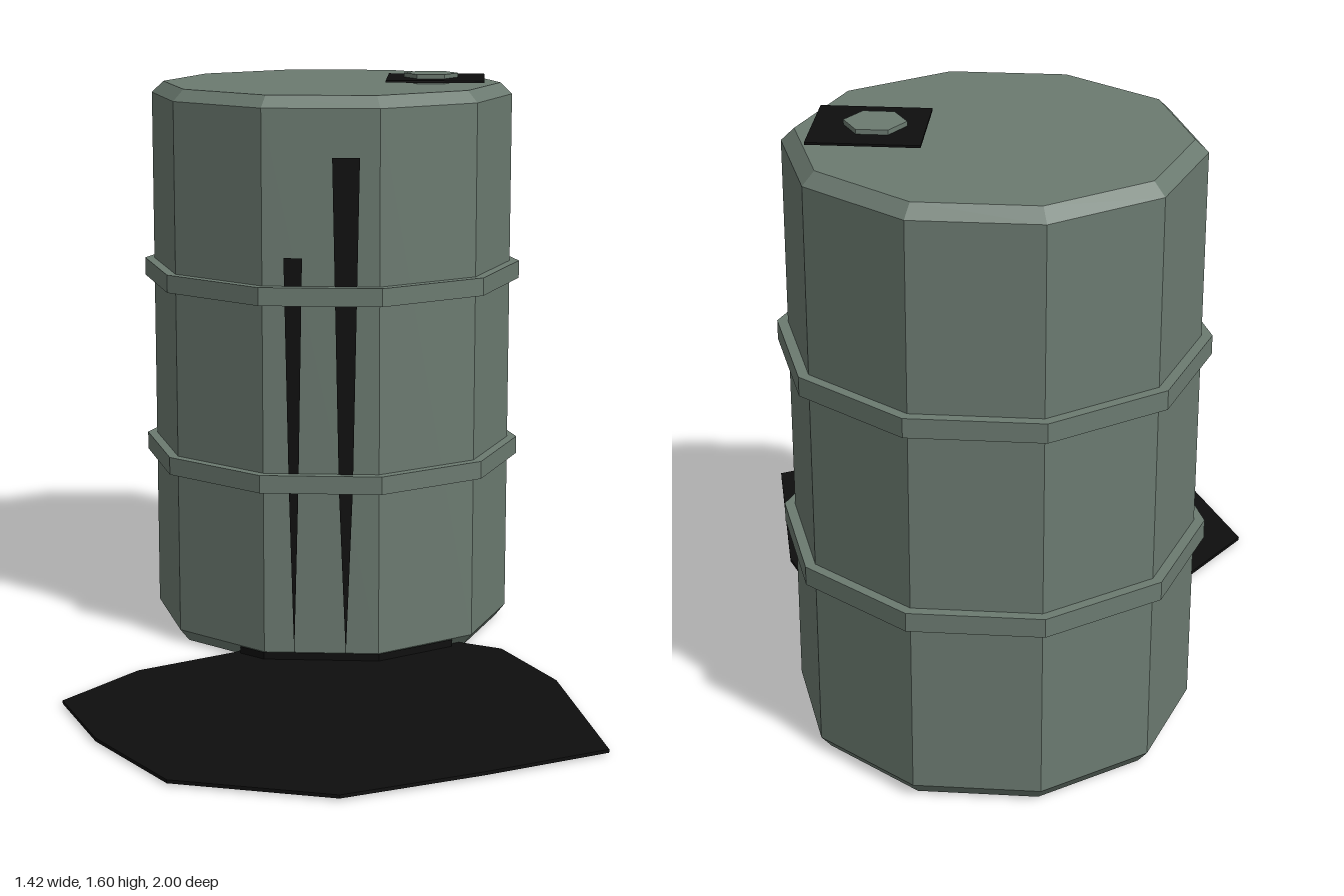
import * as THREE from 'three';

const steel = new THREE.MeshStandardMaterial({ color: 0x6b7a70, flatShading: true });
steel.name = 'greyGreenSteel';
const oil = new THREE.MeshStandardMaterial({ color: 0x0e0e0e, flatShading: true, side: THREE.DoubleSide });
oil.name = 'blackOil';

const SIDES = 10, START = Math.PI / 10; // flat face to the front

function add(parent, name, geometry, material, x = 0, y = 0, z = 0) {
  const mesh = new THREE.Mesh(geometry, material);
  mesh.name = name;
  mesh.position.set(x, y, z);
  parent.add(mesh);
  return mesh;
}

const shapeOf = (pts) => new THREE.Shape(pts.map(([x, y]) => new THREE.Vector2(x, y)));

export function createModel() {
  const model = new THREE.Group();
  model.name = 'leakingBarrel';

  // barrel body with chamfered rims
  const barrel = new THREE.Group();
  barrel.name = 'barrel';
  barrel.position.set(-0.05, 0, -0.485);
  model.add(barrel);
  const profile = [[0, 0], [0.485, 0], [0.513, 0.035], [0.513, 1.54], [0.48, 1.572], [0, 1.572]]
    .map(([r, y]) => new THREE.Vector2(r, y));
  add(barrel, 'body', new THREE.LatheGeometry(profile, SIDES, START), steel);

  // two raised hoops
  for (const [name, y] of [['lowerHoop', 0.52], ['upperHoop', 1.038]]) {
    add(barrel, name, new THREE.CylinderGeometry(0.54, 0.54, 0.05, SIDES, 1, false, START), steel, 0, y, 0);
  }

  // bung on the lid with an oily patch around it
  add(model, 'bung', new THREE.CylinderGeometry(0.077, 0.077, 0.028, 6, 1, false, Math.PI / 6), steel, 0.233, 1.584, -0.488);
  add(model, 'bungStain', new THREE.BoxGeometry(0.275, 0.006, 0.266), oil, 0.247, 1.583, -0.488);

  // oil streaks running down the front, tapering to a point
  const streaks = [
    ['longStreak', 0.018, 1.41, 0.037, 0.019],
    ['shortStreak', -0.125, 1.14, 0.025, 0.013],
  ];
  for (const [name, x, top, w, mid] of streaks) {
    const shape = shapeOf([[0, 0.03], [mid, 0.5], [w, top], [-w, top], [-mid, 0.5]]);
    add(model, name, new THREE.ShapeGeometry(shape), oil, x, 0, 0.008);
  }

  // puddle, reaching under the front of the barrel
  const outline = [
    [0.45, -0.125], [0.595, 0.14], [0.708, 0.66], [0.4, 0.83], [0.055, 1], [-0.365, 0.925],
    [-0.58, 0.65], [-0.71, 0.375], [-0.545, 0.12], [-0.3, -0.05], [-0.2, -0.15], [0.3, -0.19],
  ].map(([x, z]) => [x, -z]);
  const puddle = new THREE.ExtrudeGeometry(shapeOf(outline), { depth: 0.009, bevelEnabled: false });
  puddle.rotateX(-Math.PI / 2);
  add(model, 'puddle', puddle, oil, 0, 0.005, 0);

  // oil collected against the foot of the barrel
  const foot = [[-0.28, -0.045], [-0.21, 0.004], [0.11, 0.004], [0.31, -0.138]];
  for (let i = 0; i < foot.length - 1; i++) {
    const [x0, z0] = foot[i], [x1, z1] = foot[i + 1];
    const plate = add(model, 'footStain' + (i + 1),
      new THREE.PlaneGeometry(Math.hypot(x1 - x0, z1 - z0), 0.024), oil,
      (x0 + x1) / 2, 0.022, (z0 + z1) / 2);
    plate.rotation.y = -Math.atan2(z1 - z0, x1 - x0);
  }

  return model;
}
